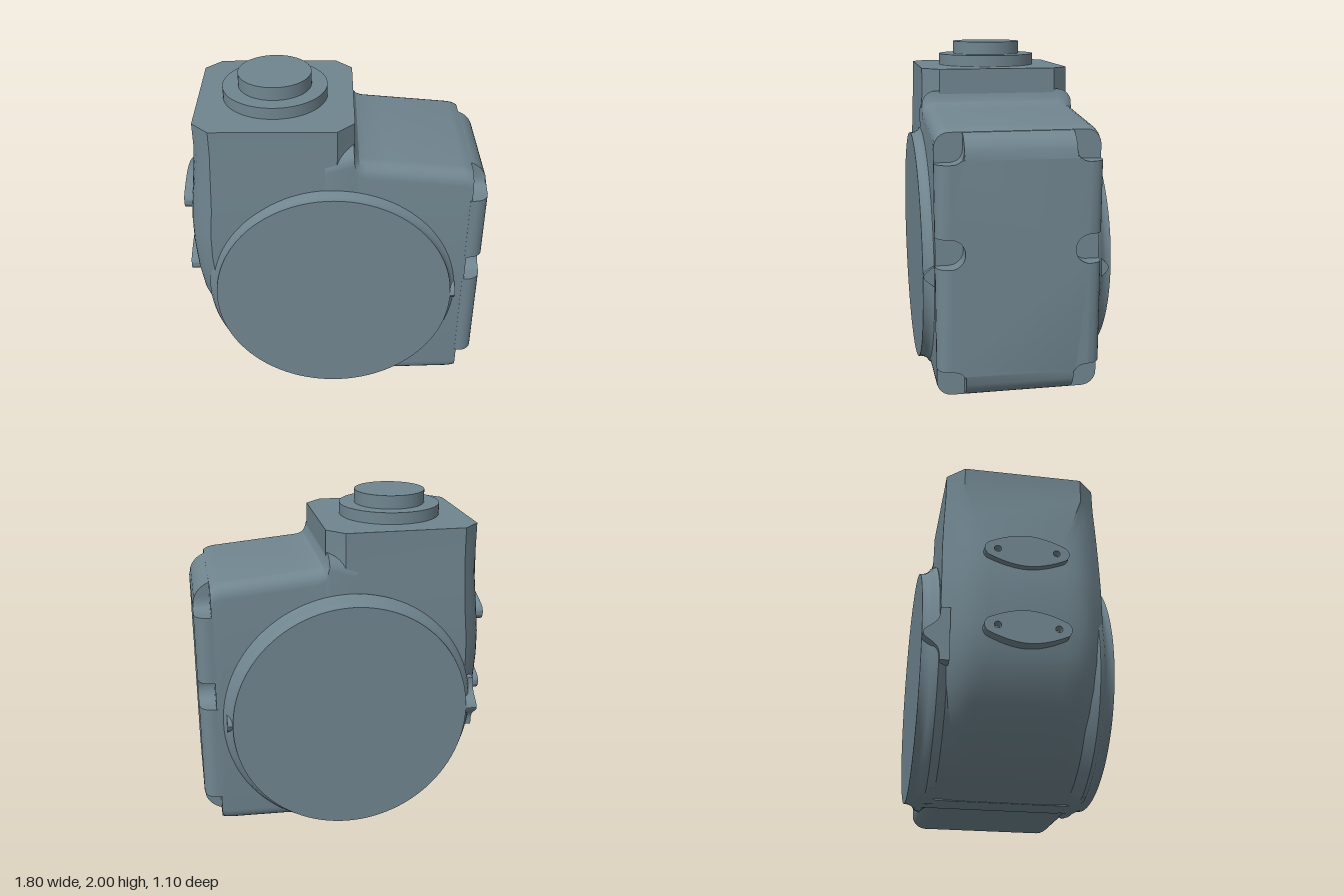
import * as THREE from 'three';
import { toCreasedNormals } from 'three/addons/utils/BufferGeometryUtils.js';

const material = new THREE.MeshStandardMaterial({ color: 0x70858f });
const ZC = 0.02; // centre plane of the housing
const HZ = 0.47; // half depth of the housing

// Piecewise linear lookup in [[key, value], ...] with rising keys
function lookup(table, k) {
  if (k <= table[0][0]) return table[0][1];
  for (let i = 1; i < table.length; i++) {
    const [a, va] = table[i - 1], [b, vb] = table[i];
    if (k <= b) return va + (vb - va) * (k - a) / (b - a);
  }
  return table[table.length - 1][1];
}

// Closed solid through a list of equal-length rings
function loft(rings) {
  const pos = [], n = rings[0].length;
  const tri = (a, b, c) => pos.push([a, b, c]);
  for (let i = 0; i < rings.length - 1; i++) {
    for (let j = 0; j < n; j++) {
      const k = (j + 1) % n, A = rings[i], B = rings[i + 1];
      tri(A[j], A[k], B[k]);
      tri(A[j], B[k], B[j]);
    }
  }
  const cap = (ring, flip) => {
    const c = ring.reduce((s, p) => s.add(p), new THREE.Vector3()).divideScalar(n);
    ring.forEach((p, j) => {
      const q = ring[(j + 1) % n];
      flip ? tri(c, q, p) : tri(c, p, q);
    });
  };
  cap(rings[0], true);
  cap(rings[rings.length - 1], false);
  // Turn the faces outward
  const cross = new THREE.Vector3();
  const volume = pos.reduce((s, [a, b, c]) => s + a.dot(cross.crossVectors(b, c)), 0);
  const points = pos.flatMap(([a, b, c]) => (volume < 0 ? [a, c, b] : [a, b, c]));
  return toCreasedNormals(new THREE.BufferGeometry().setFromPoints(points), 0.5);
}

// Extrusion of a (-z, y) shape along x, from x0 to x1
function extrudeX(shape, x0, x1, steps = 1) {
  const geo = new THREE.ExtrudeGeometry(shape, { depth: x1 - x0, steps, bevelEnabled: false, curveSegments: 16 });
  return geo.rotateY(Math.PI / 2).translate(x0, 0, 0);
}

// Neck and rounded left end, lofted upward
function neckGeometry() {
  const left = [[0.005, -0.02], [0.02, -0.12], [0.05, -0.23], [0.1, -0.35], [0.17, -0.47], [0.27, -0.6],
    [0.38, -0.7], [0.5, -0.775], [0.65, -0.832], [0.8, -0.855], [1.0, -0.868], [1.15, -0.866],
    [1.34, -0.847], [1.5, -0.822], [1.7, -0.792], [1.85, -0.792]];
  const rings = left.map(([y, xl]) => {
    const t = THREE.MathUtils.smoothstep(y, 1.3, 1.72); // 0 rounded, 1 chamfered
    const hz = lookup([[1.4, HZ], [1.7, 0.457], [1.85, 0.455]], y);
    const flat = THREE.MathUtils.lerp(0.22, 0.355, t);
    const dx = THREE.MathUtils.lerp(0.14, 0.1, t);
    const half = [[xl, flat]];
    for (let i = 1; i <= 8; i++) {
      const u = i / 8, bulge = (1 - t) * 0.035 * Math.sin(u * Math.PI);
      half.push([xl + dx * u - bulge, flat + (hz - flat) * u + bulge * 0.4 * (1 - u)]);
    }
    half.push([0.02, hz], [0.12, hz - 0.1]);
    const other = half.map(([x, z]) => [x, -z]).reverse();
    return [...half, ...other].map(([x, z]) => new THREE.Vector3(x, y, z + ZC));
  });
  return loft(rings);
}

// Box-shaped right half with rounded long edges, lofted along x
function boxGeometry() {
  const top = [[-0.05, 1.67], [0.115, 1.72], [0.125, 1.68], [0.145, 1.652], [0.18, 1.638], [0.3, 1.627],
    [0.74, 1.587], [0.77, 1.58], [0.8, 1.564]];
  const bottom = [[-0.05, 0.007], [0, 0.005], [0.74, 0.03], [0.77, 0.033], [0.8, 0.042]];
  const r = 0.085, hz = HZ - 0.002;
  return loft(top.map(([x, yt]) => {
    const yb = lookup(bottom, x), ring = [];
    const corners = [[hz - r, yt - r], [r - hz, yt - r], [r - hz, yb + r], [hz - r, yb + r]];
    corners.forEach(([z, y], q) => {
      for (let i = 0; i <= 6; i++) {
        const a = (q + i / 6) * Math.PI / 2;
        ring.push(new THREE.Vector3(x, y + r * Math.sin(a), ZC + z + r * Math.cos(a)));
      }
    });
    return ring;
  }));
}

// End cover with six bolt pockets and rounded rim
function coverGeometry() {
  const p = new THREE.Path();
  p.moveTo(0.31, 0.035);
  p.lineTo(0.31, 0.14);
  p.quadraticCurveTo(0.31, 0.22, 0.39, 0.22);
  p.lineTo(HZ, 0.22);
  p.lineTo(HZ, 0.82);
  p.lineTo(0.395, 0.82);
  p.absarc(0.395, 0.905, 0.085, -Math.PI / 2, -Math.PI * 1.5, true);
  p.lineTo(HZ, 0.99);
  p.lineTo(HZ, 1.4);
  p.lineTo(0.39, 1.4);
  p.quadraticCurveTo(0.31, 1.4, 0.31, 1.48);
  p.lineTo(0.31, 1.58);
  const half = p.getPoints(10);
  const other = half.map((v) => new THREE.Vector2(-v.x, v.y)).reverse();
  const geo = extrudeX(new THREE.Shape([...half, ...other]), 0.79, 0.9, 12);
  // Pull every layer inside the rounded rim
  const pos = geo.attributes.position;
  for (let i = 0; i < pos.count; i++) {
    const x = pos.getX(i);
    const dy = 0.15 - Math.sqrt(Math.max(0, 0.0225 - (x - 0.75) ** 2));
    const dz = 0.08 - Math.sqrt(Math.max(0, 0.0064 - Math.max(0, x - 0.82) ** 2));
    pos.setY(i, THREE.MathUtils.clamp(pos.getY(i), 0.035 + dy, 1.57 - dy));
    pos.setZ(i, THREE.MathUtils.clamp(pos.getZ(i), dz - HZ, HZ - dz) + ZC);
  }
  return toCreasedNormals(geo, 0.6);
}

// Large round side cover with a small fillet at its root
function discGeometry() {
  const profile = [[0.715, -0.1], [0.715, 0.4], [0.765, 0.455], [0.75, 0.484], [0.732, 0.495], [0.72, 0.515],
    [0.715, 0.535], [0.715, 0.55], [0, 0.55]].map(([r, z]) => new THREE.Vector2(r, z));
  const geo = new THREE.LatheGeometry(profile, 96).rotateX(Math.PI / 2).translate(0, 0.73, 0);
  const pos = geo.attributes.position;
  for (let i = 0; i < pos.count; i++) pos.setY(i, Math.max(0.006, pos.getY(i)));
  return toCreasedNormals(geo, 0.6);
}

// Lens-shaped mounting pad with two screw holes
function padGeometry() {
  const s = new THREE.Shape();
  s.moveTo(0.225, -0.04);
  s.quadraticCurveTo(0.265, 0, 0.225, 0.04);
  s.quadraticCurveTo(0.1, 0.1, 0, 0.1);
  s.quadraticCurveTo(-0.1, 0.1, -0.225, 0.04);
  s.quadraticCurveTo(-0.265, 0, -0.225, -0.04);
  s.quadraticCurveTo(-0.1, -0.1, 0, -0.1);
  s.quadraticCurveTo(0.1, -0.1, 0.225, -0.04);
  for (const u of [-0.17, 0.17]) s.holes.push(new THREE.Path().absarc(u, 0, 0.02, 0, Math.PI * 2, true));
  return toCreasedNormals(extrudeX(s, -0.905, -0.76), 0.5);
}

// Bell-shaped lug on the rim of a side cover
function lugGeometry(x0, x1, peak) {
  const side = Math.sign(peak), base = 0.4, pts = [];
  for (let i = 0; i <= 20; i++) {
    const y = 0.58 + 0.32 * i / 20;
    const rise = Math.exp(-(((y - 0.74) / 0.06) ** 2));
    pts.push(new THREE.Vector2(-side * (0.455 + (Math.abs(peak) - 0.455) * rise), y));
  }
  pts.push(new THREE.Vector2(-side * base, 0.9), new THREE.Vector2(-side * base, 0.58));
  return toCreasedNormals(extrudeX(new THREE.Shape(pts), x0, x1), 0.6);
}

export function createModel() {
  const model = new THREE.Group();
  model.name = 'gearbox';
  const add = (name, geo, x = 0, y = 0, z = 0) => {
    const mesh = new THREE.Mesh(geo, material);
    mesh.name = name;
    mesh.position.set(x, y, z);
    model.add(mesh);
    return mesh;
  };

  // Housing
  add('neckHousing', neckGeometry());
  add('boxHousing', boxGeometry());
  add('endCover', coverGeometry());

  // Round side covers and their lugs
  add('frontDisc', discGeometry());
  add('backDisc', discGeometry()).rotation.y = Math.PI;
  add('frontLug', lugGeometry(0.66, 0.745, 0.55));
  add('backRightLug', lugGeometry(0.66, 0.745, -0.53));
  add('backLeftLug', lugGeometry(-0.785, -0.66, -0.55));

  // Stepped collar on the neck
  add('collarBase', new THREE.CylinderGeometry(0.308, 0.308, 0.08, 64), -0.34, 1.88, ZC);
  add('collarTop', new THREE.CylinderGeometry(0.215, 0.215, 0.1, 64), -0.34, 1.95, ZC);

  // Mounting pads on the left end
  for (const y of [0.757, 1.238]) add('mountingPad', padGeometry(), 0, y, 0.015);

  return model;
}
